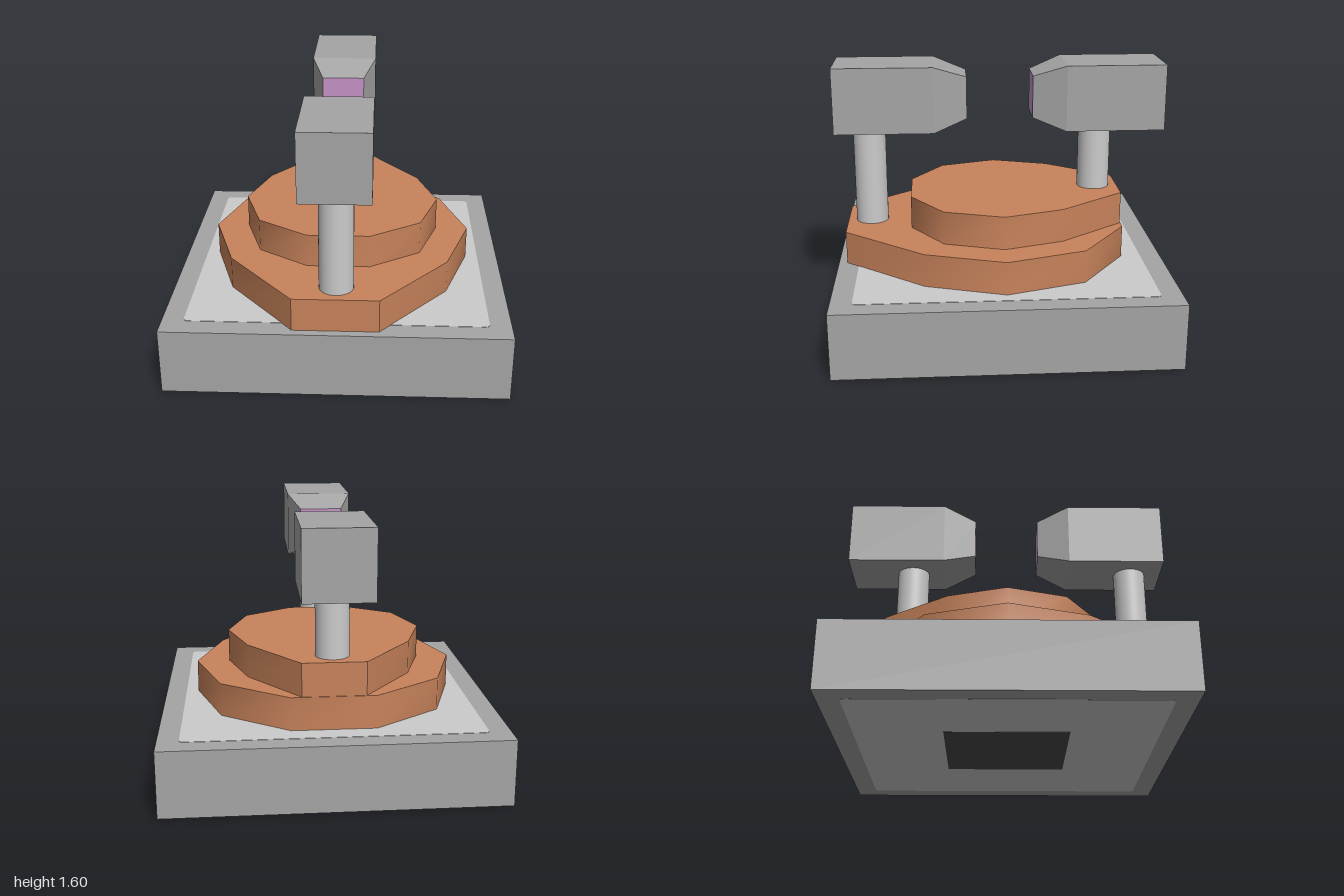
import * as THREE from 'three';
import { toCreasedNormals } from 'three/addons/utils/BufferGeometryUtils.js';

const material = (name, color) => {
  const m = new THREE.MeshStandardMaterial({ color });
  m.name = name;
  return m;
};

export function createModel() {
  const grey = material('grey', 0xa5a5a5);
  const lightGrey = material('light grey', 0xcbcbcb);
  const darkGrey = material('dark grey', 0x4a4a4a);
  const copper = material('copper', 0xc8835b);
  const purple = material('purple', 0xc692c6);

  const model = new THREE.Group();
  model.name = 'model';

  const add = (name, geometry, mat, x, y, z) => {
    const mesh = new THREE.Mesh(geometry, mat);
    mesh.name = name;
    mesh.position.set(x, y, z);
    model.add(mesh);
    return mesh;
  };

  // Square base with inset panels above and below
  add('base', new THREE.BoxGeometry(2, 0.396, 2), grey, 0, 0.202, 0);
  const h = 0.875, r = 0.03;
  const outline = new THREE.Shape();
  outline.moveTo(-h + r, -h).lineTo(h - r, -h).quadraticCurveTo(h, -h, h, -h + r)
    .lineTo(h, h - r).quadraticCurveTo(h, h, h - r, h)
    .lineTo(-h + r, h).quadraticCurveTo(-h, h, -h, h - r)
    .lineTo(-h, -h + r).quadraticCurveTo(-h, -h, -h + r, -h);
  const panel = new THREE.ExtrudeGeometry(outline, { depth: 0.002, bevelEnabled: false, curveSegments: 4 });
  panel.rotateX(-Math.PI / 2);
  add('topPanel', panel, lightGrey, 0, 0.4, 0);
  add('bottomPanel', panel, lightGrey, 0, 0.002, 0);
  add('bottomSquare', new THREE.BoxGeometry(0.72, 0.003, 0.72), darkGrey, 0, 0.0015, 0);

  // Ten-sided steps, each with its front and back edges moved along z
  const step = (name, radius, y, front, back) => {
    const g = new THREE.CylinderGeometry(radius, radius, 0.2, 10, 1, false, Math.PI / 2);
    const p = g.attributes.position;
    for (let i = 0; i < p.count; i++) {
      if (p.getZ(i) > radius * 0.9) p.setZ(i, front);
      if (p.getZ(i) < -radius * 0.9) p.setZ(i, back);
    }
    add(name, toCreasedNormals(g, 0.7), copper, 0, y, 0);
  };
  step('lowerStep', 0.8, 0.5, 0.95, -0.755);
  step('upperStep', 0.6, 0.7, 0.55, -0.75);

  // Round posts
  const post = (name, bottom, z) => add(name,
    new THREE.CylinderGeometry(0.1, 0.1, 1.2 - bottom, 32), lightGrey, 0, (1.2 + bottom) / 2, z);
  post('frontPost', 0.6, 0.8);
  post('backPost', 0.8, -0.6);

  // Block heads, tapered to a purple end face
  const box = new THREE.BoxGeometry(0.4, 0.4, 0.8, 1, 1, 2);
  const p = box.attributes.position;
  for (let i = 0; i < p.count; i++) {
    const z = p.getZ(i);
    if (Math.abs(z) < 0.01) p.setZ(i, 0.2);
    if (z > 0.3) p.setXYZ(i, p.getX(i) * 0.64, p.getY(i) * 0.64, z);
  }
  const head = toCreasedNormals(box, 0.1);
  const faces = [grey, grey, grey, grey, purple, grey];
  add('backHead', head, faces, 0, 1.4, -0.6);
  add('frontHead', head, faces, 0, 1.4, 0.6).rotation.y = Math.PI;

  return model;
}
